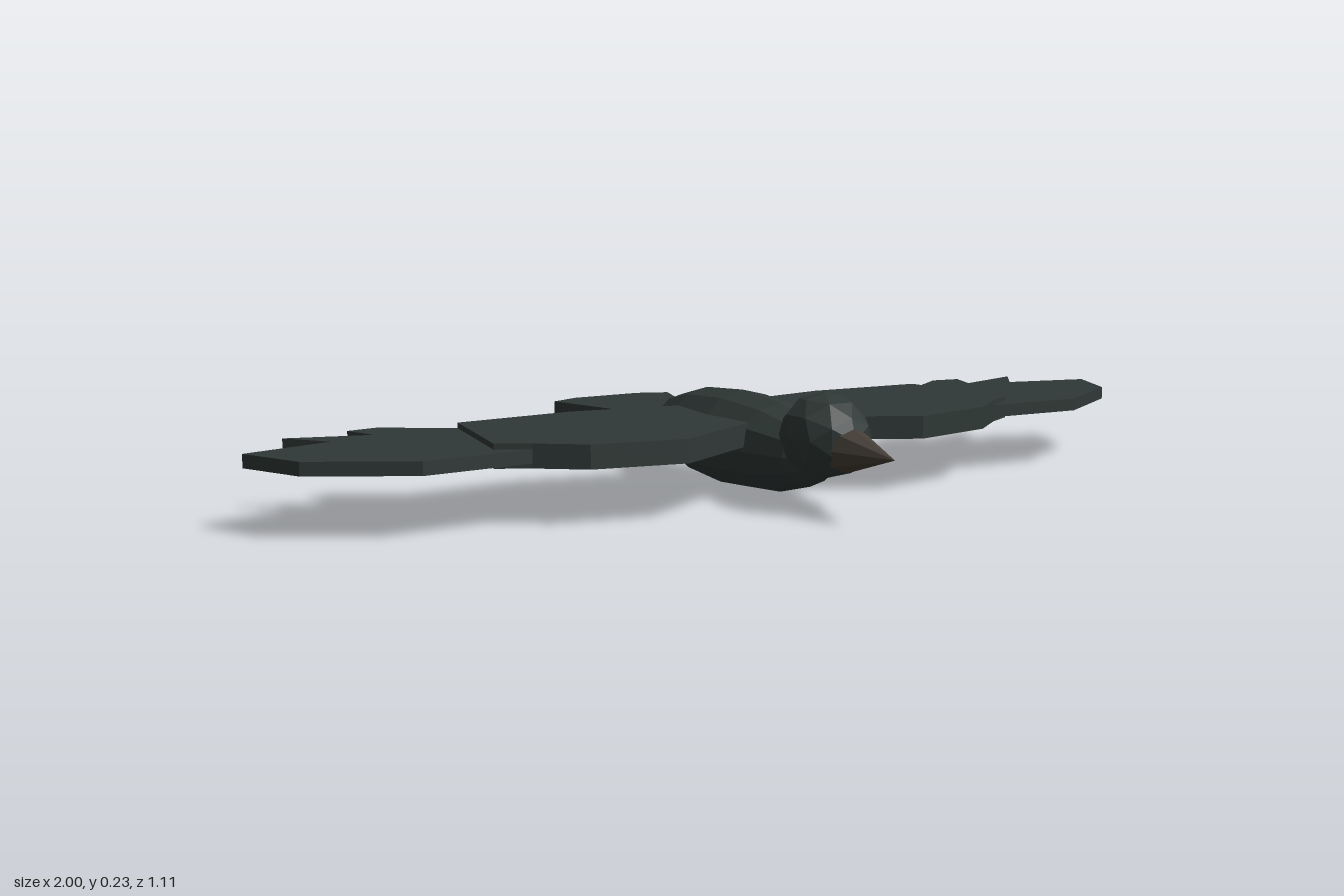
import * as THREE from 'three';

const plumage = new THREE.MeshStandardMaterial({ color: 0x2f3836 });
plumage.name = 'dark plumage';
const horn = new THREE.MeshStandardMaterial({ color: 0x463f38 });
horn.name = 'beak brown';

// Faceted mesh with one normal per face
function facetedMesh(name, geometry, material) {
  const flat = geometry.index ? geometry.toNonIndexed() : geometry;
  flat.computeVertexNormals();
  const mesh = new THREE.Mesh(flat, material);
  mesh.name = name;
  return mesh;
}

// Flat slab: outline in [x, z], between two heights
function slab(name, outline, bottom, top, side = 1) {
  const shape = new THREE.Shape(outline.map(([x, z]) => new THREE.Vector2(x * side, z)));
  const geometry = new THREE.ExtrudeGeometry(shape, { depth: top - bottom, bevelEnabled: false });
  geometry.rotateX(Math.PI / 2).translate(0, top, 0);
  return facetedMesh(name, geometry, plumage);
}

const innerWing = [
  [0.04, -0.09], [0.1, -0.105], [0.3, -0.138], [0.555, -0.12], [0.6, 0.15],
  [0.54, 0.183], [0.455, 0.25], [0.27, 0.287], [0.096, 0.19], [0.04, 0.16],
];
// Hand of the wing with three notched feather tips
const outerWing = [
  [0.53, -0.105], [0.555, -0.12], [0.685, -0.21], [0.75, -0.2], [0.725, -0.128],
  [0.885, -0.177], [0.82, -0.093], [1, -0.045], [0.94, 0.088], [0.755, 0.197], [0.53, 0.183],
];
const tailHalf = [[0.045, -0.2], [0.147, -0.527], [0.08, -0.555]];

export function createModel() {
  const bird = new THREE.Group();
  bird.name = 'bird';

  // Body: blunt-ended spindle lying along z
  const profile = [
    [0, -0.307], [0.026, -0.307], [0.062, -0.245], [0.089, -0.14], [0.099, 0],
    [0.089, 0.14], [0.062, 0.245], [0.026, 0.307], [0, 0.307],
  ].map(([r, z]) => new THREE.Vector2(r, z));
  const body = new THREE.LatheGeometry(profile, 12);
  body.rotateX(Math.PI / 2).scale(1.07, 1, 1).translate(0, 0.099, 0.04);
  bird.add(facetedMesh('body', body, plumage));

  // Head
  const head = new THREE.IcosahedronGeometry(1, 1);
  head.scale(0.083, 0.083, 0.101).translate(0, 0.144, 0.334);
  bird.add(facetedMesh('head', head, plumage));

  // Beak
  const beak = new THREE.ConeGeometry(0.047, 0.15, 8);
  beak.rotateX(Math.PI / 2).translate(0, 0.128, 0.479);
  bird.add(facetedMesh('beak', beak, horn));

  // Tail fan
  const mirrored = tailHalf.map(([x, z]) => [-x, z]).reverse();
  bird.add(slab('tail', [...tailHalf, ...mirrored], 0.084, 0.117));

  // Wings
  for (const side of [1, -1]) {
    const wing = new THREE.Group();
    wing.name = side > 0 ? 'leftWing' : 'rightWing';
    wing.add(slab('innerWing', innerWing, 0.108, 0.154, side));
    wing.add(slab('outerWing', outerWing, 0.117, 0.143, side));
    bird.add(wing);
  }
  return bird;
}
